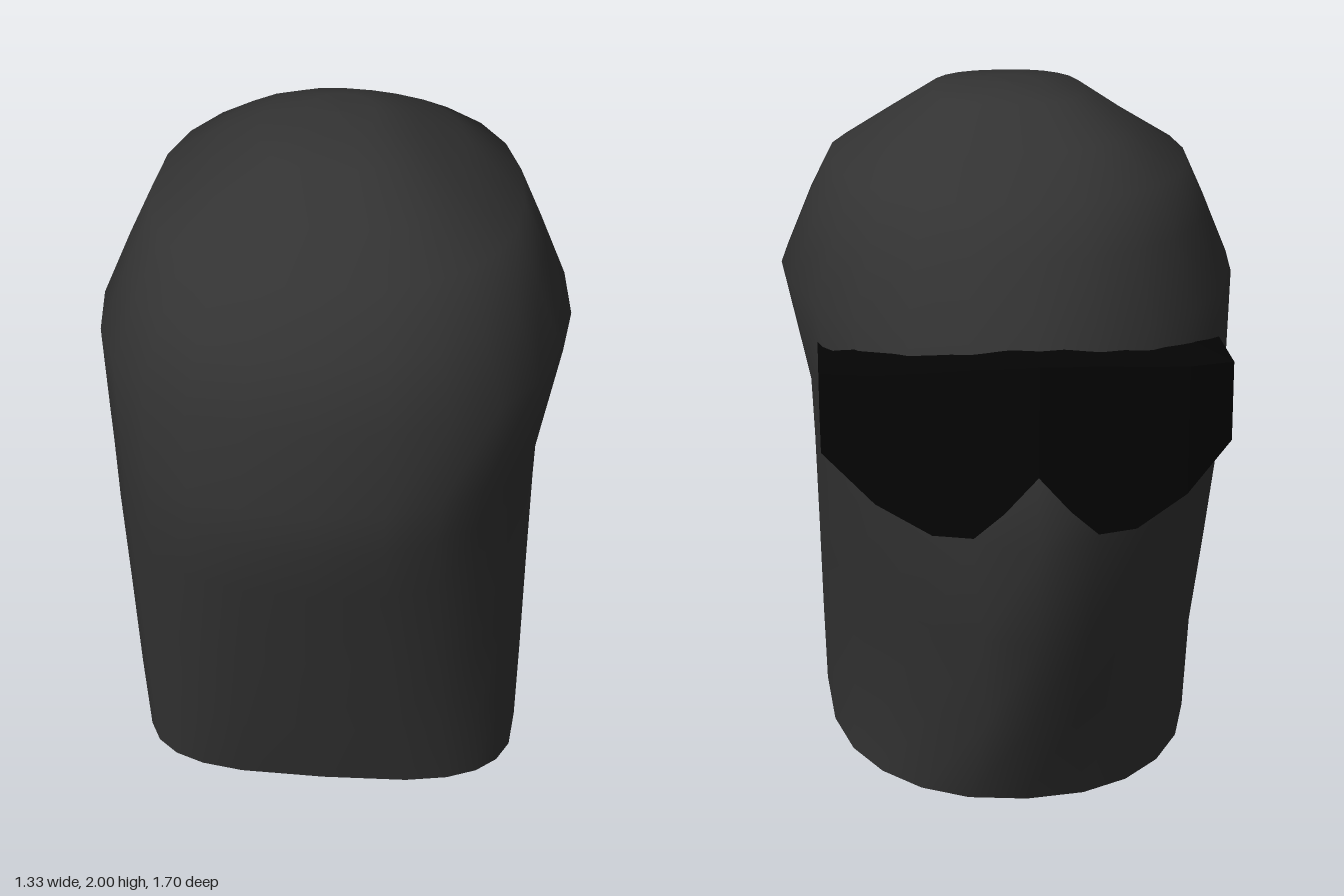
import * as THREE from 'three';

const SEG = 24;

// Indexed mesh from a list of points and faces
function build(name, points, index, material) {
  const geo = new THREE.BufferGeometry();
  geo.setAttribute('position', new THREE.Float32BufferAttribute(points.flat(), 3));
  geo.setIndex(index);
  geo.computeVertexNormals();
  const mesh = new THREE.Mesh(geo, material);
  mesh.name = name;
  return mesh;
}

// Hood rows: y, back z, front z, half width (+x), half width (-x), z of widest point,
// nose ridge, squareness of the back half, squareness of the front half (2 = oval)
const HOOD_ROWS = [
  [0.0, 0.61, -0.55, 0.56, 0.56, 0.25, 0, 3.3, 2.25],
  [0.3, 0.67, -0.67, 0.567, 0.583, 0.22, 0.02, 2.9, 1.8],
  [0.6, 0.74, -0.755, 0.573, 0.605, 0.18, 0.045, 2.7, 1.95],
  [0.9, 0.81, -0.775, 0.58, 0.627, 0.16, 0.075, 2.5, 2.2],
  [1.08, 0.853, -0.77, 0.587, 0.638, 0.15, 0.05, 2.35, 2.3],
  [1.2, 0.845, -0.76, 0.612, 0.647, 0.15, 0.025, 2.3, 2.2],
  [1.45, 0.825, -0.705, 0.665, 0.665, 0.15, 0, 2.2, 2.0],
  [1.64, 0.755, -0.595, 0.585, 0.585, 0.13, 0, 2.3, 2.1],
  [1.78, 0.625, -0.51, 0.52, 0.52, 0.1, 0, 2.3, 2.2],
  [1.88, 0.48, -0.325, 0.355, 0.355, 0.08, 0, 2.7, 2.7],
  [1.975, 0.33, -0.15, 0.22, 0.22, 0.08, 0, 2.5, 2.5],
  [1.995, 0.16, -0.08, 0.1, 0.1, 0.05, 0, 2.2, 2.2],
  [2.0, 0.04, 0.04, 0, 0, 0.04, 0, 2, 2],
];

const power = (v, n) => Math.sign(v) * Math.abs(v) ** (2 / n);

// Open-bottomed hood lofted through rounded rings
function makeHood(material) {
  const points = [], index = [];
  HOOD_ROWS.forEach(([y, back, front, wPos, wNeg, zc, nose, nBack, nFront], i) => {
    for (let j = 0; j < SEG; j++) {
      const a = (j / SEG) * Math.PI * 2;
      const n = Math.cos(a) > 0 ? nBack : nFront;
      const s = power(Math.sin(a), n), c = power(Math.cos(a), n);
      let z = zc + c * (c > 0 ? back - zc : zc - front);
      if (j === SEG / 2) z -= nose;
      // the rim rises towards the nape
      const rim = i === 0 ? 0.005 + 0.055 * THREE.MathUtils.smoothstep(z, -0.15, 0.5) : 0;
      points.push([s * (s > 0 ? wPos : wNeg), y + rim, z]);
      if (i < HOOD_ROWS.length - 1) {
        const p = i * SEG + j, q = i * SEG + (j + 1) % SEG;
        index.push(p, q, q + SEG, p, q + SEG, p + SEG);
      }
    }
  });
  return build('hood', points, index, material);
}

// Glasses sections from temple to bridge: outer x, z, top, bottom; inner x, z, top, bottom
const GLASSES_HALF = [
  [0.57, -0.23, 1.325, 1.11, 0.5, -0.22, 1.33, 1.1],
  [0.572, -0.55, 1.33, 1.1, 0.46, -0.45, 1.37, 1.01],
  [0.43, -0.67, 1.36, 0.99, 0.36, -0.54, 1.39, 0.96],
  [0.28, -0.75, 1.39, 0.925, 0.24, -0.6, 1.41, 0.94],
  [0.17, -0.795, 1.41, 0.93, 0.15, -0.64, 1.42, 0.94],
  [0.09, -0.825, 1.42, 1.01, 0.08, -0.66, 1.43, 1.01],
  [0, -0.85, 1.43, 1.12, 0, -0.68, 1.43, 1.12],
];

// Wraparound glasses lofted from one temple to the other
function makeGlasses(material) {
  const mirrored = GLASSES_HALF.slice(0, -1).reverse()
    .map(([x, z, t, b, xi, ...rest]) => [-x, z, t, b, -xi, ...rest]);
  const sections = [...GLASSES_HALF, ...mirrored];
  const points = [], index = [];
  sections.forEach(([x, z, t, b, xi, zi, ti, bi], k) => {
    points.push([x, t, z], [x, b, z], [xi, bi, zi], [xi, ti, zi]);
    if (k === sections.length - 1) return;
    for (let c = 0; c < 4; c++) {
      const p = k * 4 + c, q = k * 4 + (c + 1) % 4;
      index.push(p, q, q + 4, p, q + 4, p + 4);
    }
  });
  // temple end caps
  const e = (sections.length - 1) * 4;
  index.push(0, 3, 2, 0, 2, 1, e, e + 1, e + 2, e, e + 2, e + 3);
  return build('glasses', points, index, material);
}

export function createModel() {
  const fabric = new THREE.MeshStandardMaterial({ color: 0x333333, side: THREE.DoubleSide });
  const lens = new THREE.MeshStandardMaterial({ color: 0x040404, flatShading: true });
  const group = new THREE.Group();
  group.name = 'hoodWithGlasses';
  group.add(makeHood(fabric), makeGlasses(lens));
  return group;
}
